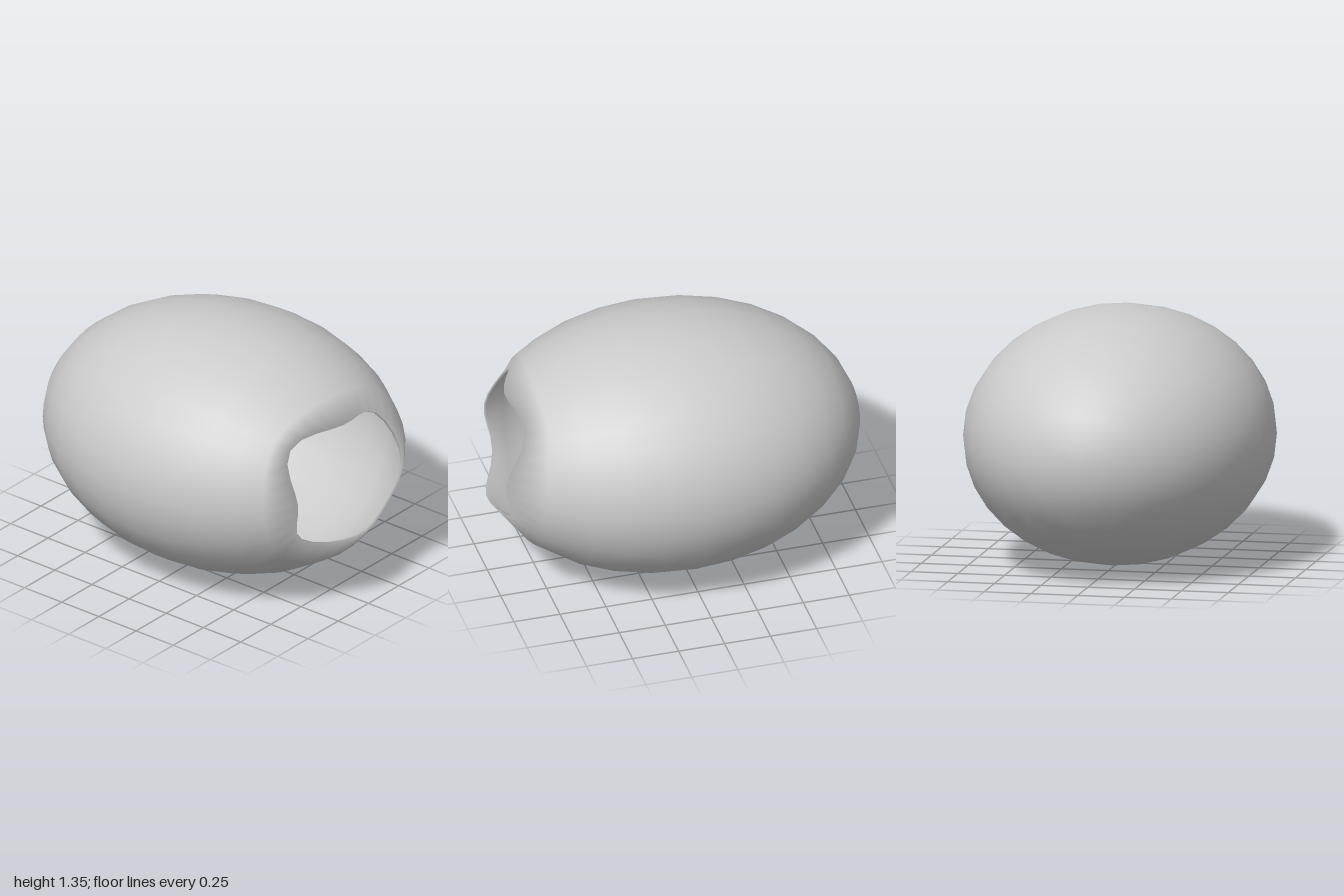
import * as THREE from 'three';

const COLS = 32;                                 // columns around the z axis
const STEP = (Math.PI * 2) / COLS;
const CENTRE = new THREE.Vector3(0, 0.678, 0.033);
const RADII = new THREE.Vector3(0.81, 0.675, 1.033);
const HOLE = { x: -0.07, y: 0.06, w: 0.377, h: 0.314, power: 3.2 };
const THICKNESS = 0.015;

// Point on the unit sphere along the rounded-square opening
function rimPoint(t) {
  const c = Math.cos(t), s = Math.sin(t), n = HOLE.power;
  const r = Math.pow(Math.abs(c) ** n + Math.abs(s) ** n, -1 / n);
  const u = (HOLE.x + HOLE.w * r * c) / RADII.x;
  const v = (HOLE.y + HOLE.h * r * s) / RADII.y;
  return new THREE.Vector3(u, v, Math.sqrt(1 - u * u - v * v));
}

// Point on the unit sphere at polar angle theta from the front
function spherePoint(theta, t) {
  const r = Math.sin(theta);
  return new THREE.Vector3(r * Math.cos(t), r * Math.sin(t), Math.cos(theta));
}

// Directions from the opening to the back pole: blended rows, then regular rows
function columnPoints(t) {
  const rim = rimPoint(t), points = [rim], first = 5;
  points.push(rim.clone().lerp(spherePoint(first * STEP, t), 0.5).normalize());
  for (let k = first; k <= COLS / 2; k++) points.push(spherePoint(k * STEP, t));
  return points;
}

function shellGeometry() {
  const positions = [], normals = [], indices = [];
  let loop = 0;
  for (let j = 0; j < COLS; j++) {
    const t = j * STEP;
    const points = columnPoints(t), last = points.length - 1;
    loop = points.length * 2;
    // outer wall towards the back, inner wall returning to the opening
    for (let i = 0; i < loop; i++) {
      const inner = i > last;
      const row = inner ? loop - 1 - i : i;
      const unit = points[row];
      const p = unit.clone().multiply(RADII).multiplyScalar(inner ? 1 - THICKNESS : 1);
      const n = unit.clone().divide(RADII).normalize().multiplyScalar(inner ? -1 : 1);
      if (row === 0) {
        // corners of the opening sink slightly; the lip shades softly inwards
        p.z -= 0.035 * Math.sin(2 * t) ** 2;
        n.add(new THREE.Vector3(-Math.cos(t), -Math.sin(t), 0).multiplyScalar(0.7)).normalize();
      }
      p.add(CENTRE);
      positions.push(p.x, p.y, p.z);
      normals.push(n.x, n.y, n.z);
    }
  }
  // quads around each closed wall loop, including the lip
  for (let j = 0; j < COLS; j++) {
    const j2 = (j + 1) % COLS;
    for (let i = 0; i < loop; i++) {
      const i2 = (i + 1) % loop;
      const a = j * loop + i, b = j * loop + i2, c = j2 * loop + i2, d = j2 * loop + i;
      indices.push(a, b, c, a, c, d);
    }
  }
  const geometry = new THREE.BufferGeometry();
  geometry.setAttribute('position', new THREE.Float32BufferAttribute(positions, 3));
  geometry.setAttribute('normal', new THREE.Float32BufferAttribute(normals, 3));
  geometry.setIndex(indices);
  return geometry;
}

export function createModel() {
  const group = new THREE.Group();
  group.name = 'hollowPod';
  const material = new THREE.MeshStandardMaterial({ color: 0xcccccc });
  const shell = new THREE.Mesh(shellGeometry(), material);
  shell.name = 'shell';
  group.add(shell);
  return group;
}
